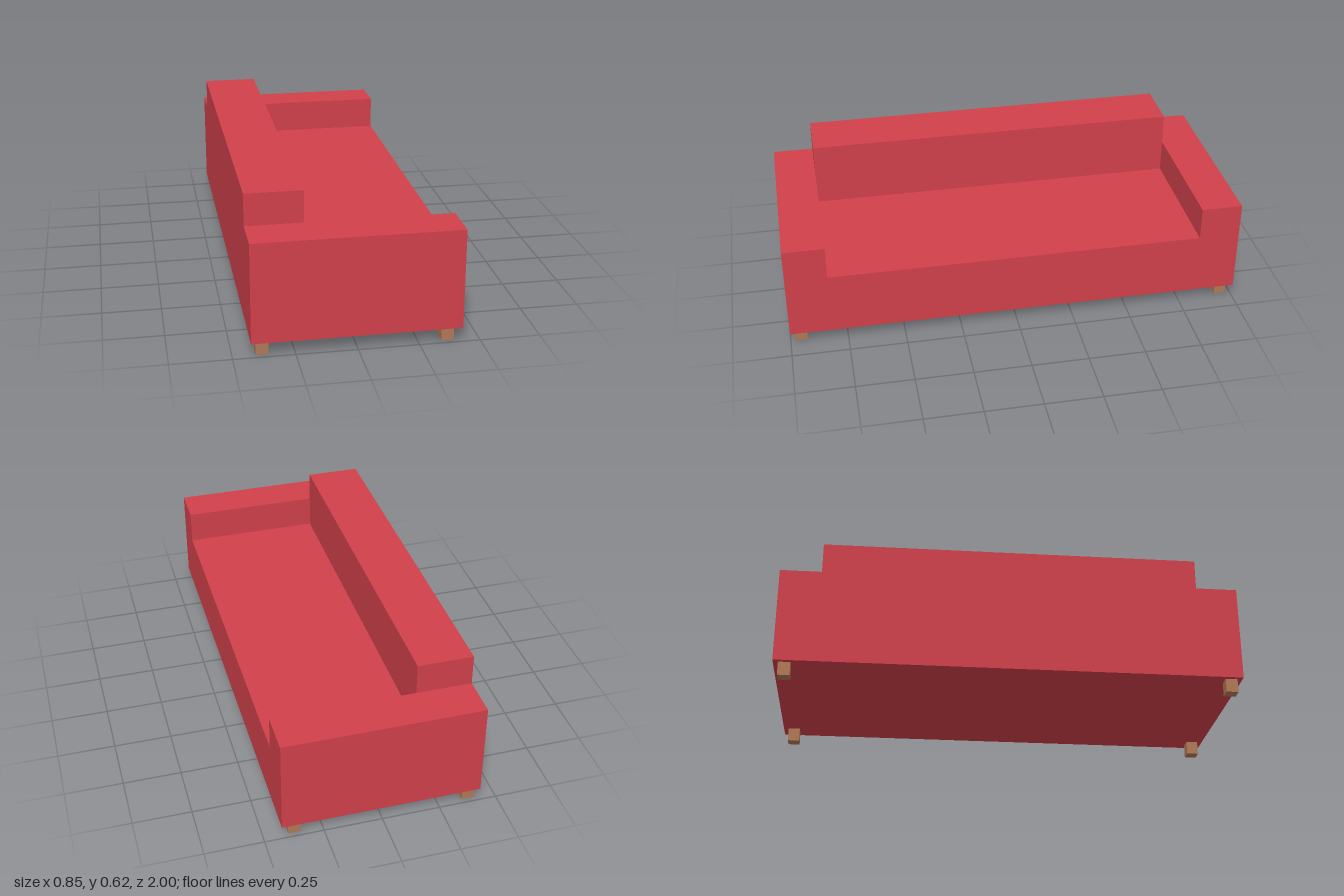
import * as THREE from 'three';

const red = new THREE.MeshStandardMaterial({ color: 0xd0404a });
const wood = new THREE.MeshStandardMaterial({ color: 0xb07855 });

const DEPTH = 0.854, BOTTOM = 0.06, SEAT = 0.337, ARM = 0.484, BACK = 0.62;
const INNER = 0.82; // half the seat length between the arms

export function createModel() {
  const sofa = new THREE.Group();
  sofa.name = 'sofa';

  function box(name, [w, h, d], [x, y, z], material) {
    const mesh = new THREE.Mesh(new THREE.BoxGeometry(w, h, d), material);
    mesh.name = name;
    mesh.position.set(x, y, z);
    sofa.add(mesh);
  }

  // Seat and both arms: one U-shaped profile run through the depth
  const profile = new THREE.Shape([
    [-1, BOTTOM], [1, BOTTOM], [1, ARM], [INNER, ARM],
    [INNER, SEAT], [-INNER, SEAT], [-INNER, ARM], [-1, ARM],
  ].map(([x, y]) => new THREE.Vector2(x, y)));
  const bodyGeometry = new THREE.ExtrudeGeometry(profile, { depth: DEPTH, bevelEnabled: false });
  bodyGeometry.translate(0, 0, -DEPTH / 2).rotateY(Math.PI / 2);
  const body = new THREE.Mesh(bodyGeometry, red);
  body.name = 'seatAndArms';
  sofa.add(body);

  // Backrest, standing on the seat between the arms
  const thickness = 0.24;
  box('backrest', [thickness, BACK - SEAT, 2 * INNER],
    [-DEPTH / 2 + thickness / 2, (BACK + SEAT) / 2, 0], red);

  // Four short square legs
  for (const [side, x] of [['back', -0.382], ['front', 0.37]]) {
    for (const z of [-0.952, 0.952]) {
      box(`${side}Leg`, [0.052, BOTTOM, 0.052], [x, BOTTOM / 2, z], wood);
    }
  }
  return sofa;
}
